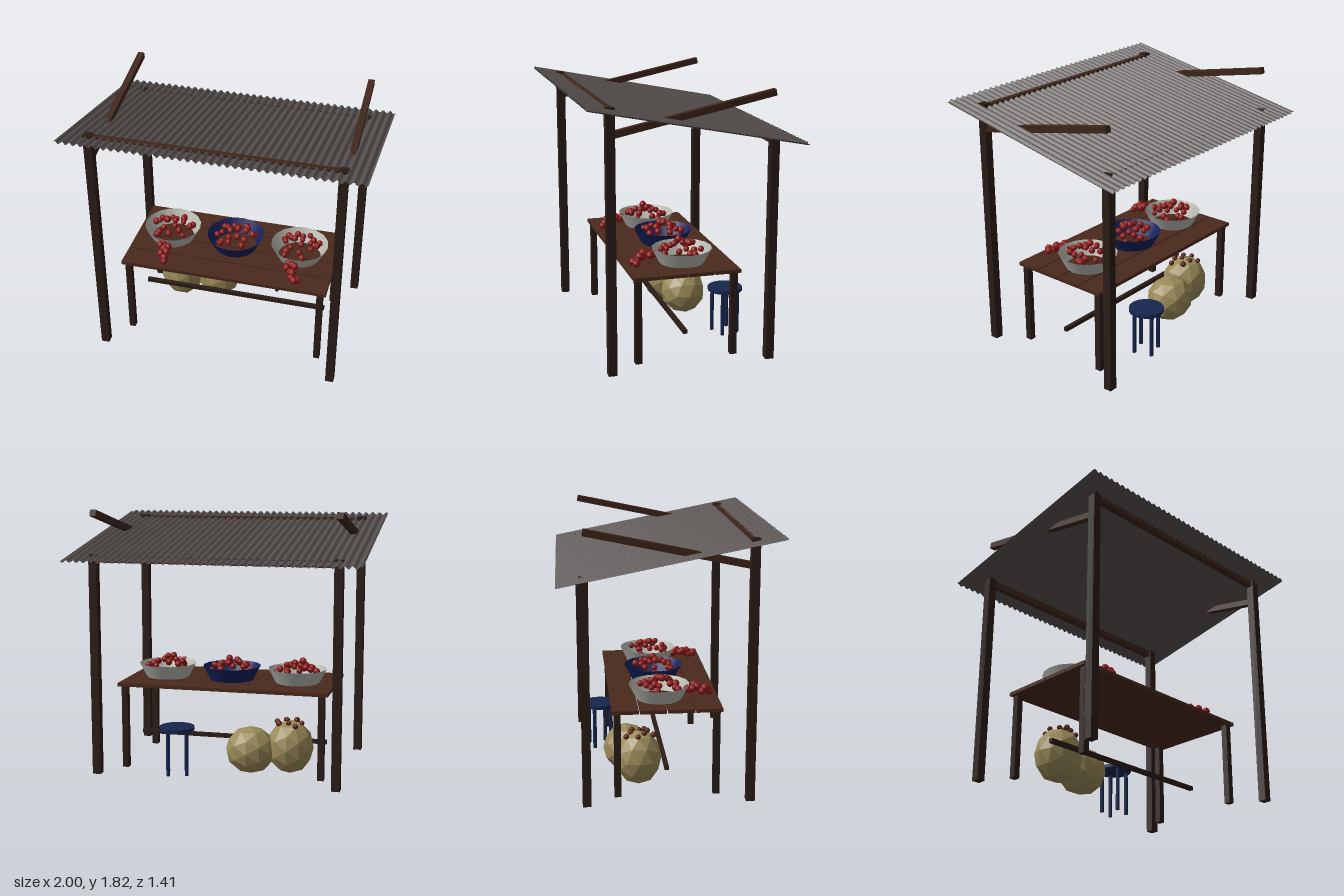
import * as THREE from 'three';

const mat = (color, extra = {}) => new THREE.MeshStandardMaterial({ color, ...extra });
const M = {
  post: mat(0x2b1d17),
  beam: mat(0x3f251a),
  plank: mat(0x4a291c),
  roof: mat(0x56504e, { side: THREE.DoubleSide }),
  white: mat(0xb8b8b0, { side: THREE.DoubleSide }),
  blue: mat(0x14205c, { side: THREE.DoubleSide }),
  stool: mat(0x17264f),
  sack: mat(0x9a8a58, { flatShading: true }),
  fruit: mat(0x8c1616),
  root: mat(0x5a2418),
};

// Small seeded generator for the fruit piles
function seeded(seed) {
  let s = seed;
  return () => (s = (s * 16807) % 2147483647) / 2147483647;
}

export function createModel() {
  const stall = new THREE.Group();
  stall.name = 'marketStall';

  function add(name, geometry, material, x, y, z, parent = stall) {
    const mesh = new THREE.Mesh(geometry, material);
    mesh.name = name;
    mesh.position.set(x, y, z);
    parent.add(mesh);
    return mesh;
  }
  const box = (name, w, h, d, material, x, y, z, parent) =>
    add(name, new THREE.BoxGeometry(w, h, d), material, x, y, z, parent);

  // Posts and tilted side rafters, mirrored left and right
  for (const side of [-1, 1]) {
    box('frontPost', 0.057, 1.74, 0.057, M.post, side * 0.83, 0.88, 0.535);
    box('backPost', 0.057, 1.515, 0.057, M.post, side * 0.83, 0.7675, -0.535);
    box('sideRafter', 0.043, 0.043, 1.095, M.beam, side * 0.83, 1.689, 0).rotation.x = 0.207;
  }
  box('frontBeam', 1.66, 0.043, 0.043, M.beam, 0, 1.72, 0.53);
  box('backBeam', 1.66, 0.043, 0.043, M.beam, 0, 1.494, -0.535);

  // Corrugated roof sheet, sloping down to the back
  const sheet = new THREE.PlaneGeometry(2, 1.437, 240, 1).rotateX(-Math.PI / 2);
  const p = sheet.attributes.position;
  for (let i = 0; i < p.count; i++) {
    p.setY(i, 0.01 * Math.sin(p.getX(i) * Math.PI * 40));
  }
  sheet.computeVertexNormals();
  add('corrugatedRoof', sheet, M.roof, 0, 1.628, 0).rotation.x = -0.193;

  // Table: four planks, four legs and a middle stretcher
  const table = new THREE.Group();
  table.name = 'table';
  stall.add(table);
  for (let i = 0; i < 4; i++) {
    box('tablePlank', 1.48, 0.024, 0.176, M.plank, 0, 0.604, (i - 1.5) * 0.1845, table);
  }
  for (const x of [-0.695, 0.695]) {
    for (const z of [-0.328, 0.328]) {
      box('tableLeg', 0.043, 0.585, 0.045, M.post, x, 0.3025, z, table);
    }
  }
  box('stretcher', 1.36, 0.028, 0.028, M.post, 0, 0.19, 0, table);

  // Open bowls with heaped fruit
  const fruitGeometry = new THREE.SphereGeometry(1, 8, 6);
  const fruit = (name, material, r, x, y, z, parent) =>
    add(name, fruitGeometry, material, x, y, z, parent).scale.setScalar(r);
  const bowlGeometry = new THREE.CylinderGeometry(0.205, 0.153, 0.1, 16, 1, true);

  [-0.473, 0, 0.473].forEach((x, n) => {
    const rand = seeded(411 + n * 977);
    const bowl = new THREE.Group();
    bowl.name = 'fruitBowl';
    bowl.position.set(x, 0, -0.033);
    stall.add(bowl);
    add('bowl', bowlGeometry, n === 1 ? M.blue : M.white, 0, 0.667, 0, bowl);
    for (let i = 0; i < 20; i++) {
      const a = i * 2.4 + rand() * 0.6;
      const r = 0.15 * Math.sqrt((i + 0.3) / 20);
      const y = 0.775 - r * 0.55 + (rand() - 0.5) * 0.025;
      fruit('heapedFruit', M.fruit, 0.019 + rand() * 0.007,
        r * Math.cos(a), y, r * Math.sin(a), bowl);
    }
    // Fruit spilling over the front of the outer bowls
    if (n !== 1) {
      for (let i = 0; i < 10; i++) {
        const t = i / 9;
        fruit('spilledFruit', M.fruit, 0.024 + rand() * 0.005,
          (rand() - 0.5) * 0.13, 0.692 - t * 0.04 + (rand() - 0.5) * 0.04,
          0.19 + t * 0.155, bowl);
      }
    }
  });

  // Two plump sacks under the table, the first topped with produce
  const sackGeometry = new THREE.IcosahedronGeometry(1, 1);
  add('tallSack', sackGeometry, M.sack, -0.453, 0.19, -0.175).scale.set(0.165, 0.19, 0.162);
  add('shortSack', sackGeometry, M.sack, -0.187, 0.167, -0.24).scale.set(0.176, 0.167, 0.162);
  const rand = seeded(77);
  for (let i = 0; i < 9; i++) {
    const a = i * 2.4;
    const r = 0.115 * Math.sqrt((i + 0.4) / 9);
    fruit('sackProduce', M.root, 0.018 + rand() * 0.005,
      -0.455 + r * Math.cos(a), 0.382 - r * 0.27, -0.165 + r * Math.sin(a));
  }

  // Round stool behind the table
  const stool = new THREE.Group();
  stool.name = 'stool';
  stool.position.set(0.295, 0, -0.407);
  stall.add(stool);
  add('stoolSeat', new THREE.CylinderGeometry(0.122, 0.122, 0.024, 16), M.stool, 0, 0.332, 0, stool);
  for (let i = 0; i < 4; i++) {
    const a = 0.48 + (i * Math.PI) / 2;
    add('stoolLeg', new THREE.CylinderGeometry(0.014, 0.014, 0.315, 8), M.stool,
      0.09 * Math.cos(a), 0.1675, 0.09 * Math.sin(a), stool);
  }

  return stall;
}
